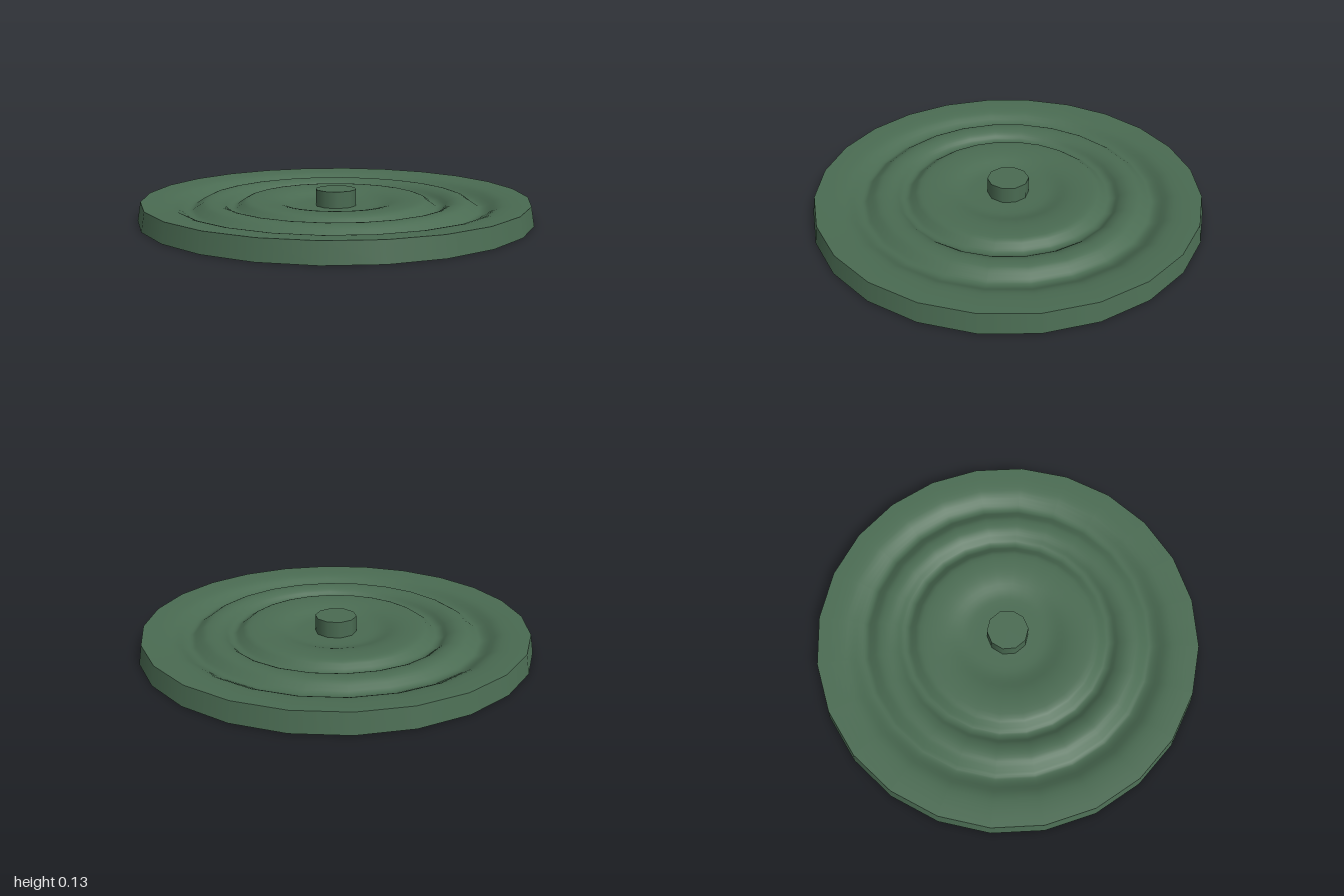
import * as THREE from 'three';

const SIDES = 24;

// Lathe from [radius, height] pairs; smooth within one profile, sharp between profiles
function turned(name, pairs, material, divisions = 0) {
  let points = pairs.map(([r, y]) => new THREE.Vector2(r, y));
  if (divisions) points = new THREE.SplineCurve(points).getPoints(divisions);
  points.forEach((p) => { p.x = Math.max(p.x, 0); });
  const mesh = new THREE.Mesh(new THREE.LatheGeometry(points, SIDES), material);
  mesh.name = name;
  return mesh;
}

export function createModel() {
  const model = new THREE.Group();
  model.name = 'rippledLid';
  const green = new THREE.MeshStandardMaterial({ color: 0x4a6b52 });
  green.name = 'darkGreen';

  // Slightly tapered rim
  model.add(turned('outerWall', [[1, 0], [0.983, 0.095]], green));

  // Top face: two concentric grooves and a dished centre
  model.add(turned('rippledTop', [
    [0.983, 0.095], [0.9, 0.091], [0.83, 0.08], [0.775, 0.05], [0.74, 0.043],
    [0.71, 0.06], [0.67, 0.083], [0.62, 0.085], [0.58, 0.07], [0.55, 0.047],
    [0.52, 0.043], [0.49, 0.062], [0.455, 0.081], [0.38, 0.082], [0.31, 0.072],
    [0.24, 0.051], [0.17, 0.044], [0, 0.044],
  ], green, 51));

  // Hollow underside, dropping below the outer groove
  model.add(turned('underside', [
    [0, 0.025], [0.4, 0.025], [0.72, 0.026], [0.77, 0.033], [0.82, 0.056],
    [0.87, 0.068], [0.962, 0.072],
  ], green, 24));
  model.add(turned('innerWall', [[0.962, 0.072], [0.975, 0]], green));
  model.add(turned('bottomLip', [[0.975, 0], [1, 0]], green));

  // Ten-sided centre knob
  const knob = new THREE.Mesh(new THREE.CylinderGeometry(0.107, 0.107, 0.09, 10), green);
  knob.name = 'knob';
  knob.position.y = 0.083;
  model.add(knob);

  return model;
}
